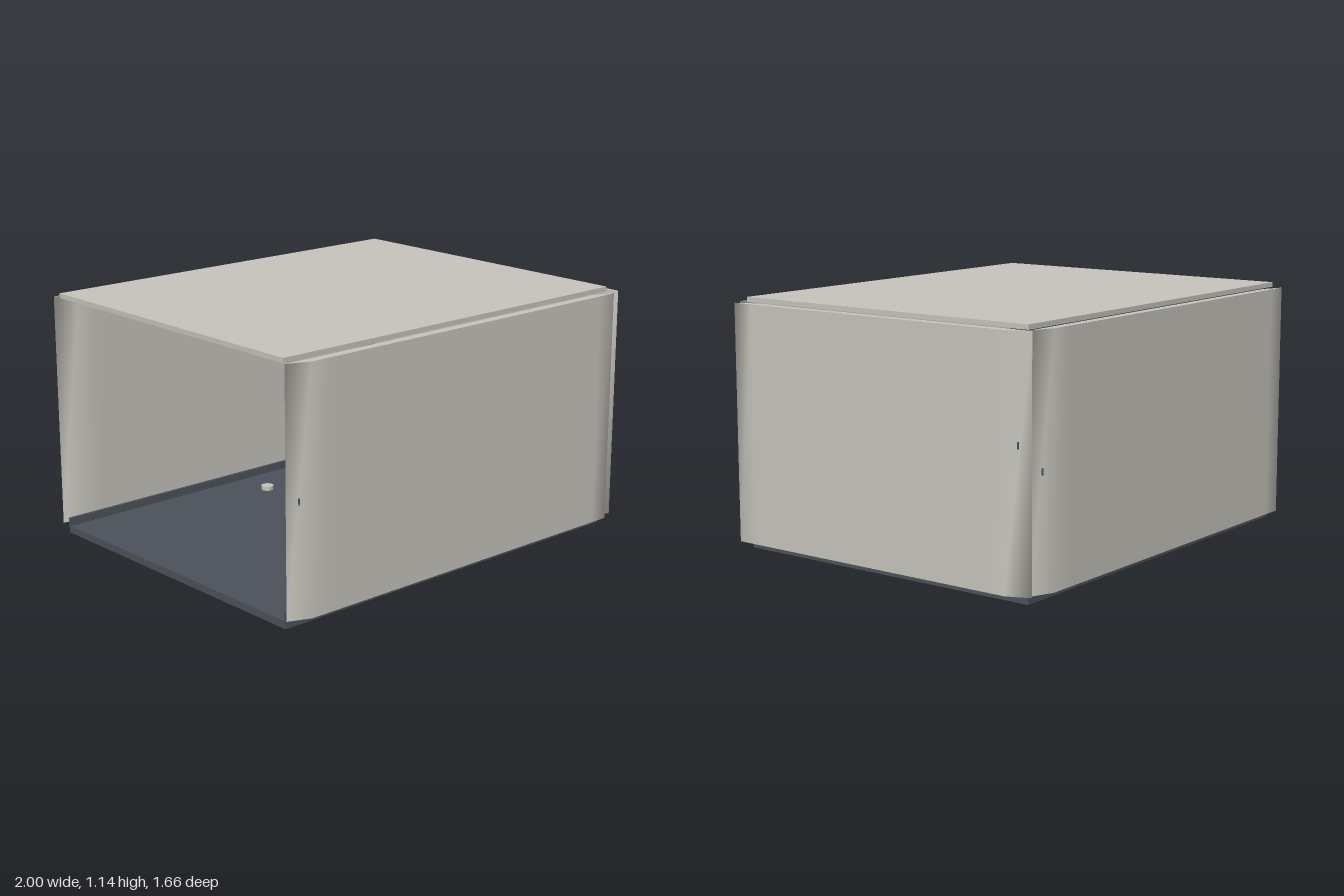
import * as THREE from 'three';

const SLANT = 0.105; // how far each wall end leans

// Skewed slab standing along local x, outer face towards +z, softly shaded around its ends
function wallGeometry(half, depth, y0, y1, skew) {
  const o0 = skew > 0 ? -half + SLANT : -half, o1 = skew > 0 ? half : half - SLANT;
  const i0 = skew > 0 ? -half : -half + SLANT, i1 = skew > 0 ? half - SLANT : half;
  const outline = [
    [o0, depth], [o0 + 0.1, depth], [o1 - 0.1, depth], [o1, depth],
    [i1, 0], [i1 - 0.1, 0], [i0 + 0.1, 0], [i0, 0],
  ];
  const n = outline.length, pos = [], idx = [];
  // Two rings for the sides, then two more for the flat caps
  for (const y of [y0, y1, y0, y1]) for (const [x, z] of outline) pos.push(x, y, z);
  for (let i = 0; i < n; i++) {
    const j = (i + 1) % n;
    idx.push(i, j, n + j, i, n + j, n + i);
  }
  for (let i = 1; i < n - 1; i++) {
    idx.push(2 * n, 2 * n + i + 1, 2 * n + i);
    idx.push(3 * n, 3 * n + i, 3 * n + i + 1);
  }
  const g = new THREE.BufferGeometry();
  g.setAttribute('position', new THREE.Float32BufferAttribute(pos, 3));
  g.setIndex(idx);
  g.computeVertexNormals();
  return g;
}

export function createModel() {
  const model = new THREE.Group();
  model.name = 'enclosure';
  const shell = new THREE.MeshStandardMaterial({ color: 0xc6c4bc });
  shell.name = 'warm grey panel';
  const dark = new THREE.MeshStandardMaterial({ color: 0x4d525b });
  dark.name = 'dark slate base';

  function add(name, geometry, material, x = 0, y = 0, z = 0, parent = model) {
    const m = new THREE.Mesh(geometry, material);
    m.name = name;
    m.position.set(x, y, z);
    parent.add(m);
    return m;
  }
  // Box given by its limits
  function slab(name, material, x0, x1, y0, y1, z0, z1) {
    return add(name, new THREE.BoxGeometry(x1 - x0, y1 - y0, z1 - z0), material,
      (x0 + x1) / 2, (y0 + y1) / 2, (z0 + z1) / 2);
  }

  // Base tray with a low rim on the three walled sides
  slab('base', dark, -1, 0.945, 0, 0.034, -0.78, 0.78);
  for (const s of [-1, 1]) {
    const a = s * 0.768, b = s * 0.782;
    slab(s > 0 ? 'frontRim' : 'backRim', dark, -1, 0.94, 0.034, 0.072, Math.min(a, b), Math.max(a, b));
  }
  slab('sideRim', dark, 0.928, 0.94, 0.034, 0.072, -0.768, 0.768);

  // Lid
  slab('lid', shell, -1, 0.945, 1.123, 1.145, -0.78, 0.78);

  // Three walls; the remaining side is open
  const walls = [
    { name: 'frontWall', half: 0.97, depth: 0.042, skew: 1, x: -0.03, z: 0.787, turn: 0 },
    { name: 'backWall', half: 0.97, depth: 0.042, skew: 1, x: -0.03, z: -0.787, turn: Math.PI },
    { name: 'sideWall', half: 0.805, depth: 0.046, skew: 1, x: 0.953, z: 0, turn: Math.PI / 2 },
  ];
  for (const w of walls) {
    // The side wall leans the opposite way when its acute outer edge lies towards the front
    const skew = w.name === 'sideWall' ? -1 : w.skew;
    const wall = add(w.name, wallGeometry(w.half, w.depth, 0.035, 1.122, skew), shell, w.x, 0, w.z);
    wall.rotation.y = w.turn;
    // Small dark catch on the leaning end
    const catchX = skew * (-w.half + SLANT / 2);
    add('catch', new THREE.BoxGeometry(0.006, 0.03, 0.006), dark,
      catchX, skew > 0 ? 0.545 : 0.66, w.depth / 2, wall);
  }

  // Low pale mounts on the floor
  for (const [x, z] of [[0.03, -0.57], [0.4, -0.04]]) {
    add('floorMount', new THREE.CylinderGeometry(0.03, 0.03, 0.02, 16), shell, x, 0.044, z);
  }
  return model;
}
